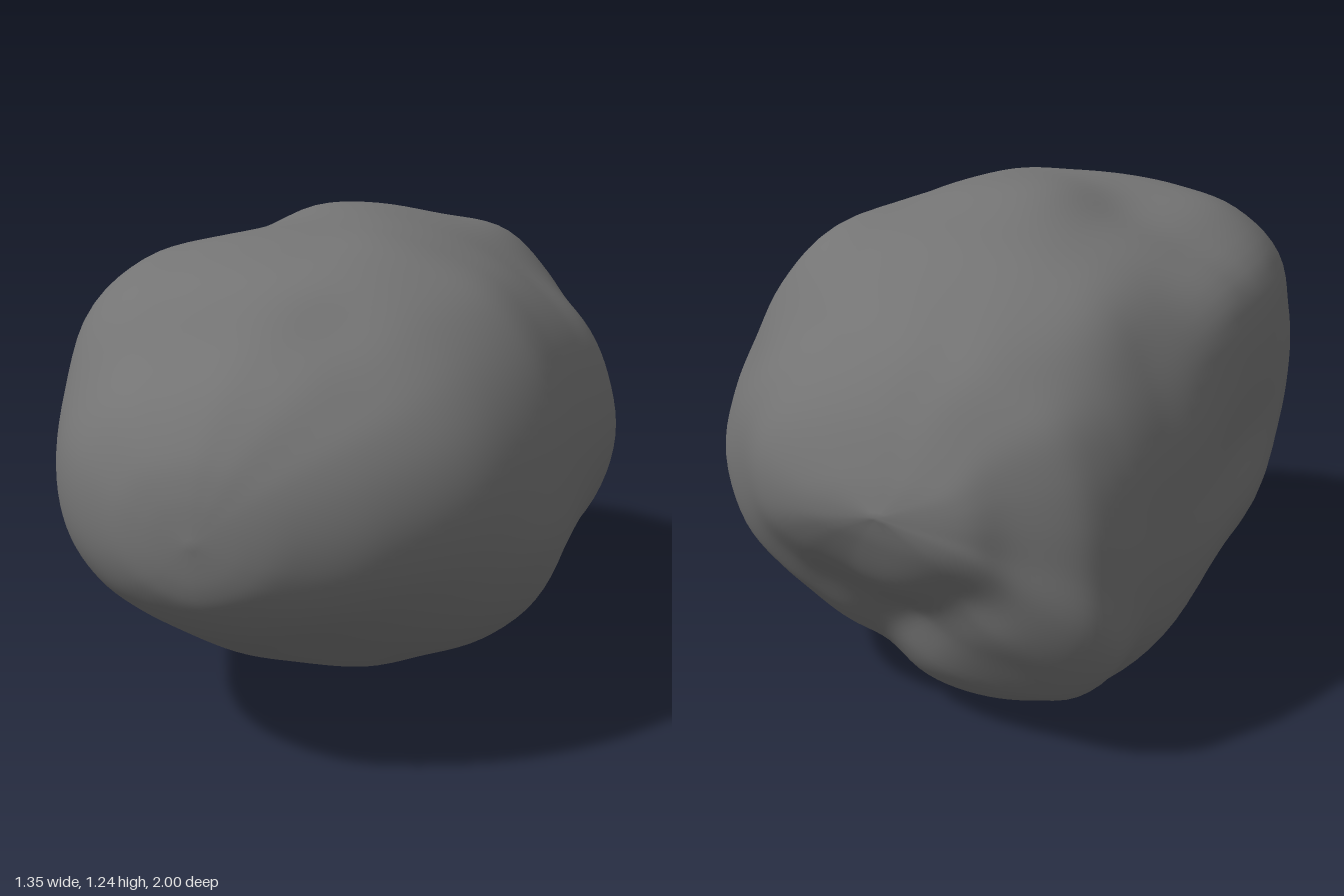
import * as THREE from 'three';
import { mergeVertices } from 'three/addons/utils/BufferGeometryUtils.js';

// Stations along the boulder: z, x min, x max, y min, y max
const STATIONS = [
  [1, -0.08, -0.08, 0.65, 0.65],
  [0.985, -0.2, 0.05, 0.54, 0.76],
  [0.95, -0.3, 0.16, 0.47, 0.85],
  [0.87, -0.42, 0.31, 0.39, 0.95],
  [0.75, -0.52, 0.44, 0.31, 1.04],
  [0.6, -0.585, 0.54, 0.22, 1.155],
  [0.4, -0.63, 0.62, 0.13, 1.21],
  [0.2, -0.66, 0.64, 0.07, 1.235],
  [0, -0.67, 0.66, 0.02, 1.25],
  [-0.2, -0.675, 0.675, 0.015, 1.24],
  [-0.4, -0.66, 0.64, 0.005, 1.19],
  [-0.55, -0.62, 0.585, 0.03, 1.14],
  [-0.7, -0.59, 0.47, 0.12, 1.05],
  [-0.82, -0.54, 0.34, 0.27, 0.96],
  [-0.91, -0.4, 0.23, 0.41, 0.85],
  [-0.97, -0.3, 0.08, 0.54, 0.73],
  [-1, -0.12, -0.12, 0.64, 0.64],
];

// Outline shapes: z, then radii every 15 degrees counter-clockwise from +x
const OUTLINES = [
  // rounded front
  [0.8, 0.45, 0.44, 0.41, 0.37, 0.35, 0.335, 0.335, 0.34, 0.36, 0.4, 0.43, 0.455,
    0.46, 0.45, 0.42, 0.38, 0.35, 0.335, 0.33, 0.33, 0.34, 0.365, 0.4, 0.435],
  // flat-bottomed shoulder
  [0.35, 0.62, 0.62, 0.62, 0.61, 0.58, 0.56, 0.545, 0.56, 0.6, 0.66, 0.69, 0.65,
    0.63, 0.63, 0.61, 0.585, 0.56, 0.55, 0.535, 0.55, 0.56, 0.6, 0.63, 0.63],
  // keeled middle
  [-0.1, 0.66, 0.66, 0.66, 0.64, 0.62, 0.61, 0.618, 0.63, 0.62, 0.665, 0.73, 0.69,
    0.655, 0.69, 0.66, 0.61, 0.57, 0.62, 0.6, 0.56, 0.54, 0.57, 0.6, 0.64],
  // wedge-shaped back
  [-0.55, 0.585, 0.57, 0.56, 0.58, 0.59, 0.56, 0.55, 0.56, 0.59, 0.63, 0.62, 0.61,
    0.6, 0.62, 0.64, 0.63, 0.6, 0.56, 0.52, 0.48, 0.47, 0.48, 0.51, 0.56],
  // tail with a low corner
  [-0.82, 0.44, 0.44, 0.42, 0.39, 0.36, 0.345, 0.34, 0.34, 0.36, 0.38, 0.41, 0.42,
    0.43, 0.45, 0.5, 0.48, 0.39, 0.33, 0.29, 0.27, 0.27, 0.3, 0.36, 0.42],
];

// Soft dents (negative) and swellings: x, y, z, radius, amount
const DENTS = [
  [0.45, 1.06, -0.2, 0.18, -0.025],
  [0.27, 1.12, -0.38, 0.14, 0.02],
  [-0.2, 1.2, 0.08, 0.14, -0.015],
  [0.15, 1.06, 0.66, 0.1, -0.015],
  [0.52, 0.55, 0.45, 0.1, 0.012],
];

// Groove beside the keel, from under the back round to the left flank
const GROOVE = new THREE.CatmullRomCurve3([
  [-0.28, 0.44, -0.89], [-0.1, 0.33, -0.8], [0.04, 0.22, -0.64], [0.12, 0.14, -0.45],
  [0.17, 0.11, -0.2], [0.2, 0.12, 0],
].map((p) => new THREE.Vector3(...p))).getPoints(40);
const GROOVE_DEPTH = 0.035;
const GROOVE_WIDTH = 0.09;

const SIDES = 120;
const RINGS = 128;
const CENTRE = new THREE.Vector3(0, 0.63, 0);
const { smoothstep: smooth, lerp } = THREE.MathUtils;

// Smooth periodic lookup in an outline's radii
function radiusAt(outline, turn) {
  const n = outline.length - 1;
  const f = turn * n;
  const i = Math.floor(f);
  const t = f - i;
  const [a, b, c, d] = [-1, 0, 1, 2].map((k) => outline[1 + ((i + k + n) % n)]);
  return b + 0.5 * t * (c - a + t * (2 * a - 5 * b + 4 * c - d + t * (3 * (b - c) + d - a)));
}

// Cross-section at depth z, blended from the outlines to fill the given extents
function section(z, x0, x1, y0, y1) {
  const raw = [];
  for (let j = 0; j < SIDES; j++) {
    const turn = j / SIDES;
    let r = radiusAt(OUTLINES[0], turn);
    for (let k = 1; k < OUTLINES.length; k++) {
      r = lerp(r, radiusAt(OUTLINES[k], turn), smooth(-z, -OUTLINES[k - 1][0], -OUTLINES[k][0]));
    }
    const angle = turn * 2 * Math.PI;
    raw.push(new THREE.Vector2(Math.cos(angle) * r, Math.sin(angle) * r));
  }
  const box = new THREE.Box2().setFromPoints(raw);
  const size = box.getSize(new THREE.Vector2());
  return raw.map((p) => new THREE.Vector3(
    x0 + ((p.x - box.min.x) / size.x) * (x1 - x0),
    y0 + ((p.y - box.min.y) / size.y) * (y1 - y0),
    z,
  ));
}

// Push a surface point in or out for the dents, swellings and groove
function weather(p) {
  let push = 0;
  for (const [x, y, z, r, amount] of DENTS) {
    const d2 = (p.x - x) ** 2 + (p.y - y) ** 2 + (p.z - z) ** 2;
    push += amount * Math.exp(-d2 / (r * r));
  }
  const near = Math.min(...GROOVE.map((g) => g.distanceToSquared(p)));
  push -= GROOVE_DEPTH * Math.exp(-near / GROOVE_WIDTH ** 2);
  return p.addScaledVector(p.clone().sub(CENTRE).normalize(), push);
}

function boulderGeometry() {
  const curve = (a, b) => new THREE.CatmullRomCurve3(
    STATIONS.map((s) => new THREE.Vector3(s[0], s[a], s[b])), false, 'catmullrom', 0.5);
  const across = curve(1, 2);
  const upright = curve(3, 4);
  const positions = [];
  const index = [];

  for (let i = 0; i <= RINGS; i++) {
    const w = across.getPoint(i / RINGS);
    const h = upright.getPoint(i / RINGS);
    for (const p of section(w.x, w.y, w.z, h.y, h.z)) positions.push(...weather(p).toArray());
  }
  for (let i = 0; i < RINGS; i++) {
    for (let j = 0; j < SIDES; j++) {
      const a = i * SIDES + j;
      const b = i * SIDES + ((j + 1) % SIDES);
      const c = a + SIDES;
      const d = b + SIDES;
      if (i > 0) index.push(a, c, b);
      if (i < RINGS - 1) index.push(b, c, d);
    }
  }
  const geometry = new THREE.BufferGeometry();
  geometry.setAttribute('position', new THREE.Float32BufferAttribute(positions, 3));
  geometry.setIndex(index);
  const merged = mergeVertices(geometry, 1e-5);
  merged.computeVertexNormals();
  return merged;
}

export function createModel() {
  const group = new THREE.Group();
  group.name = 'boulder';
  const stone = new THREE.MeshStandardMaterial({ color: 0x747474 });
  stone.name = 'grey stone';
  const rock = new THREE.Mesh(boulderGeometry(), stone);
  rock.name = 'rock';
  group.add(rock);
  return group;
}
